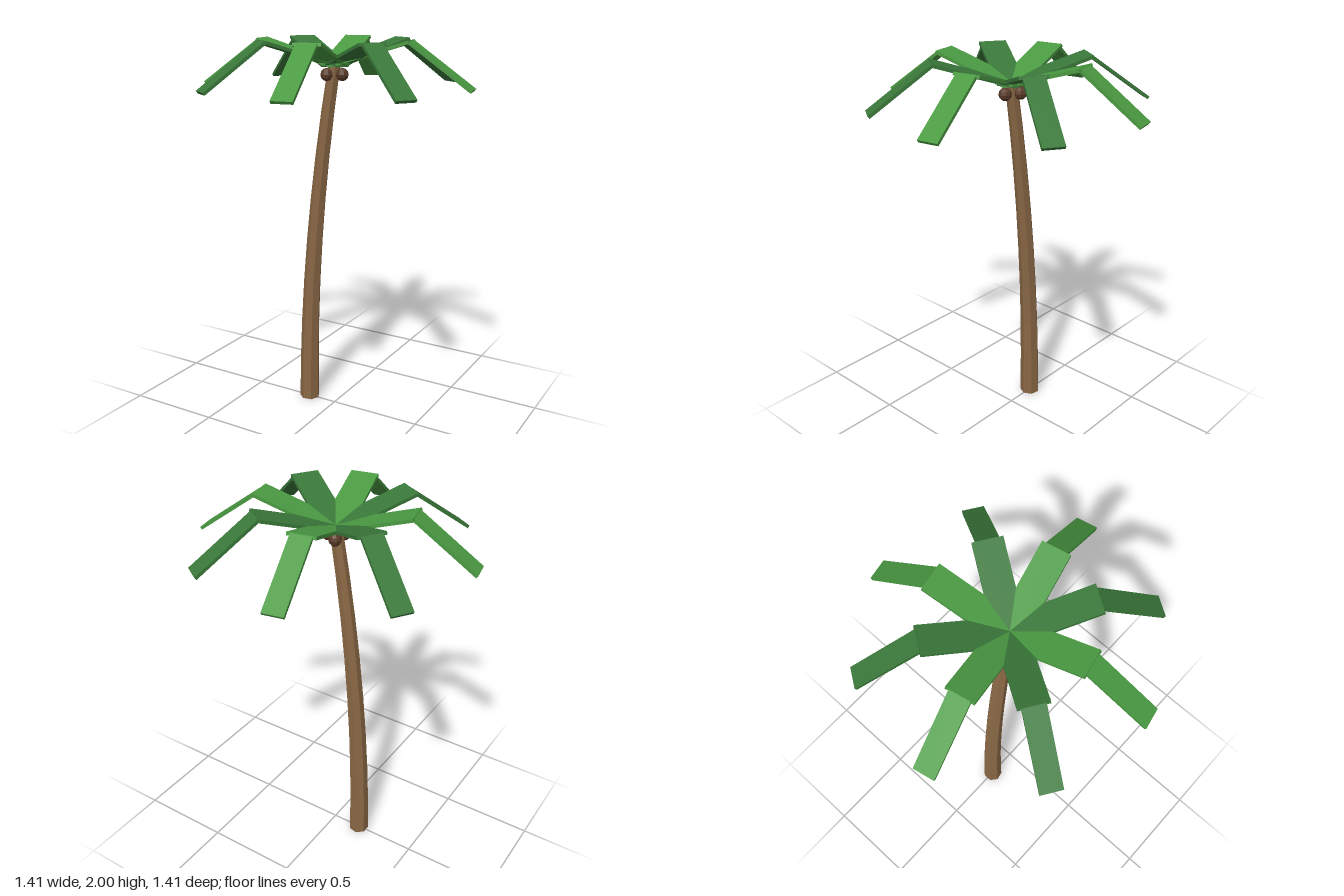
import * as THREE from 'three';

const mat = (name, color) => {
  const m = new THREE.MeshStandardMaterial({ color, flatShading: true });
  m.name = name;
  return m;
};

export function createModel() {
  const bark = mat('bark brown', 0x8a6845);
  const nut = mat('coconut brown', 0x5a3b28);
  const lightLeaf = mat('light leaf green', 0x4a9a42);
  const darkLeaf = mat('dark leaf green', 0x3a783a);

  const tree = new THREE.Group();
  tree.name = 'palmTree';

  // Curved trunk: tapered seven-sided segments stacked along a parabola
  const trunk = new THREE.Group();
  trunk.name = 'trunk';
  const segments = 8, height = 1.87;
  const centre = t => new THREE.Vector3(-0.163 * (1 - t * t), height * t, 0);
  const radius = t => 0.055 - 0.023 * t;
  const up = new THREE.Vector3(0, 1, 0);
  for (let i = 0; i < segments; i++) {
    const t0 = i / segments, t1 = (i + 1) / segments;
    const a = centre(t0), b = centre(t1);
    const dir = b.clone().sub(a);
    const geo = new THREE.CylinderGeometry(radius(t1), radius(t0), dir.length() + 0.002, 7);
    geo.rotateY(Math.PI / 2);
    const seg = new THREE.Mesh(geo, bark);
    seg.name = 'trunkSegment';
    seg.position.copy(a).add(b).multiplyScalar(0.5);
    seg.quaternion.setFromUnitVectors(up, dir.normalize());
    trunk.add(seg);
  }
  tree.add(trunk);

  // Thin plank between two points of the frond's side profile
  const plank = (name, x0, y0, x1, y1, width, material) => {
    const length = Math.hypot(x1 - x0, y1 - y0);
    const mesh = new THREE.Mesh(new THREE.BoxGeometry(length, 0.016, width), material);
    mesh.name = name;
    mesh.position.set((x0 + x1) / 2, (y0 + y1) / 2, 0);
    mesh.rotation.z = Math.atan2(y1 - y0, x1 - x0);
    return mesh;
  };

  // Eight fronds, each rising and then drooping, in alternating greens
  for (let i = 0; i < 8; i++) {
    const leaf = i % 2 ? darkLeaf : lightLeaf;
    const frond = new THREE.Group();
    frond.name = 'frond';
    frond.add(plank('frondInner', 0, 1.87, 0.395, 1.992, 0.142, leaf));
    frond.add(plank('frondOuter', 0.39, 1.99, 0.702, 1.765, 0.106, leaf));
    frond.rotation.y = 0.2 + i * Math.PI / 4;
    tree.add(frond);
  }

  // Three coconuts around the top of the trunk
  for (let i = 0; i < 3; i++) {
    const a = i * Math.PI * 2 / 3;
    const coconut = new THREE.Mesh(new THREE.SphereGeometry(0.033, 8, 6), nut);
    coconut.name = 'coconut';
    coconut.position.set(0.045 * Math.cos(a), 1.825, 0.045 * Math.sin(a));
    tree.add(coconut);
  }

  return tree;
}
